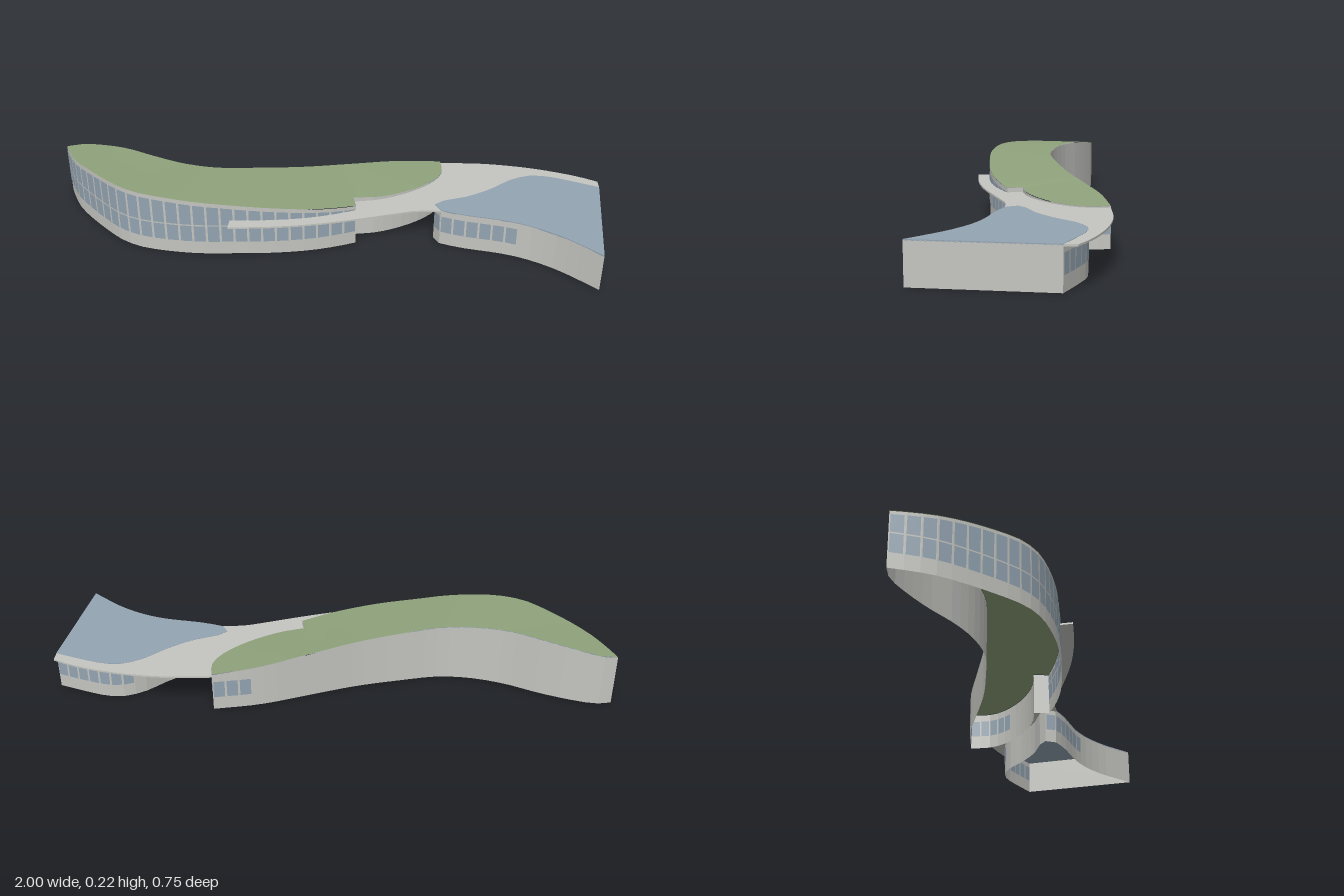
import * as THREE from 'three';

const mat = (name, color) => {
  const m = new THREE.MeshStandardMaterial({ color, side: THREE.DoubleSide });
  m.name = name;
  return m;
};

// Smooth rail through [x, z, height] points
const rail = (pts) => new THREE.CatmullRomCurve3(pts.map(([x, z, y]) => new THREE.Vector3(x, y, z)), false, 'centripetal');

// Faceted geometry from quads given counter-clockwise
function quads(list) {
  const pos = [];
  for (const [a, b, c, d] of list) for (const p of [a, b, c, a, c, d]) pos.push(p.x, p.y, p.z);
  const g = new THREE.BufferGeometry();
  g.setAttribute('position', new THREE.Float32BufferAttribute(pos, 3));
  g.computeVertexNormals();
  return g;
}

const atY = (p, y) => new THREE.Vector3(p.x, y, p.z);

// Wall standing under a rail
const wallQuads = (pts) => pts.slice(1).map((q, i) => [atY(pts[i], 0), atY(q, 0), q, pts[i]]);

// Panes, one per wall facet, on the inner and outer face
function paneQuads(pts, wanted, twoRows) {
  const out = [];
  for (let i = 0; i + 1 < pts.length; i++) {
    const a = pts[i].clone().lerp(pts[i + 1], 0.08), b = pts[i].clone().lerp(pts[i + 1], 0.92);
    if (!wanted(a.clone().lerp(b, 0.5))) continue;
    const n = new THREE.Vector3(a.z - b.z, 0, b.x - a.x).normalize().multiplyScalar(0.002);
    for (const s of [1, -1]) {
      const p = a.clone().addScaledVector(n, s), q = b.clone().addScaledVector(n, s);
      const add = (lo, hiP, hiQ) => out.push(s > 0
        ? [atY(p, lo), atY(q, lo), atY(q, hiQ), atY(p, hiP)]
        : [atY(q, lo), atY(p, lo), atY(p, hiP), atY(q, hiQ)]);
      add(0.05, 0.113, 0.113);
      if (twoRows) add(0.118, a.y - 0.012, b.y - 0.012);
    }
  }
  return out;
}

// Flat plate with its upper face at the given height
function plate(outline, top, thick) {
  const shape = new THREE.Shape(outline.map(([x, z]) => new THREE.Vector2(x, z)));
  const g = new THREE.ExtrudeGeometry(shape, { depth: thick, bevelEnabled: false });
  g.rotateX(Math.PI / 2);
  g.translate(0, top, 0);
  return g;
}

export function createModel() {
  const group = new THREE.Group();
  const wall = mat('pale grey', 0xc4c5c0);
  const green = mat('roof green', 0x8fa27b);
  const glass = mat('blue grey', 0x93a4b2);
  const add = (name, geometry, material) => {
    const m = new THREE.Mesh(geometry, material);
    m.name = name;
    group.add(m);
  };
  const xz = (pts) => pts.map((p) => [p.x, p.z]);

  // Rails of the main hall: long front, recessed rounded end, back
  const front = rail([[-1, 0.09, 0.188], [-0.95, 0.15, 0.194], [-0.9, 0.2, 0.2], [-0.83, 0.25, 0.209],
    [-0.73, 0.31, 0.218], [-0.65, 0.35, 0.222], [-0.57, 0.368, 0.221], [-0.48, 0.365, 0.217],
    [-0.36, 0.345, 0.207], [-0.25, 0.31, 0.195], [-0.12, 0.265, 0.182], [0, 0.21, 0.168],
    [0.08, 0.16, 0.159], [0.145, 0.11, 0.152]]).getSpacedPoints(27);
  const tip = rail([[0.12, 0.06, 0.153], [0.2, 0.02, 0.147], [0.28, -0.05, 0.143], [0.34, -0.13, 0.141],
    [0.37, -0.2, 0.14], [0.372, -0.25, 0.14], [0.35, -0.31, 0.142]]).getSpacedPoints(13);
  const backCurve = rail([[-1, 0.09, 0.188], [-0.95, 0.07, 0.195], [-0.87, 0.07, 0.206], [-0.75, 0.085, 0.218],
    [-0.62, 0.113, 0.221], [-0.5, 0.12, 0.215], [-0.38, 0.1, 0.208], [-0.25, 0.04, 0.198],
    [-0.1, -0.04, 0.185], [0.05, -0.14, 0.17], [0.2, -0.24, 0.155], [0.35, -0.31, 0.142]]);
  const back = backCurve.getSpacedPoints(32).reverse();

  // Main hall walls and windows
  add('mainFrontWall', quads(wallQuads([...front, tip[0]])), wall);
  add('mainEndWall', quads(wallQuads(tip)), wall);
  add('mainBackWall', quads(wallQuads(back)), wall);
  add('mainFrontWindows', quads(paneQuads(front, () => true, true)), glass);
  add('mainEndWindows', quads(paneQuads(tip, (p) => p.z < -0.14, false)), glass);
  add('mainBackWindows', quads(paneQuads(back, (p) => p.x > 0.22, false)), glass);

  // Green roof spanning from the front rail to the back rail
  const rim = [...front, ...tip];
  const pos = [], idx = [], steps = 4;
  rim.forEach((f, i) => {
    const b = backCurve.getPointAt(Math.pow(i / (rim.length - 1), 0.85));
    for (let k = 0; k <= steps; k++) {
      const p = f.clone().lerp(b, k / steps);
      pos.push(p.x, p.y + 0.002, p.z);
      if (i && k) {
        const c = i * (steps + 1) + k, a = c - steps - 1;
        idx.push(a - 1, c - 1, c, a - 1, c, a);
      }
    }
  });
  const roof = new THREE.BufferGeometry();
  roof.setAttribute('position', new THREE.Float32BufferAttribute(pos, 3));
  roof.setIndex(idx);
  roof.computeVertexNormals();
  add('greenRoof', roof, green);

  // Side wing: front, straight end and back
  const h = 0.135;
  const wingFront = rail([[0.4, -0.01, h], [0.415, 0.016, h], [0.5, 0.027, h], [0.66, 0.02, h],
    [0.75, 0.03, h], [0.85, 0.06, h], [0.93, 0.098, h], [1, 0.135, h]]).getSpacedPoints(14);
  const wingBack = rail([[0.94, -0.31, h], [0.85, -0.322, h], [0.75, -0.33, h], [0.69, -0.318, h],
    [0.63, -0.27, h], [0.57, -0.18, h], [0.5, -0.1, h], [0.42, -0.04, h], [0.4, -0.01, h]]).getSpacedPoints(16);
  add('wingFrontWall', quads(wallQuads(wingFront)), wall);
  add('wingEndWall', quads(wallQuads([wingFront[14], wingBack[0]])), wall);
  add('wingBackWall', quads(wallQuads(wingBack)), wall);
  add('wingFrontWindows', quads(paneQuads(wingFront, (p) => p.x < 0.68, false)), glass);
  add('wingBackWindows', quads(paneQuads(wingBack, (p) => p.x > 0.65, false)), glass);
  add('wingRoof', plate([...xz(wingFront), ...xz(wingBack.slice(0, -1))], 0.138, 0.005), glass);

  // Thin canopy linking the hall and the wing
  const canopyEdge = rail([[-0.24, 0.355, 0], [-0.1, 0.305, 0], [0.05, 0.235, 0], [0.2, 0.145, 0],
    [0.3, 0.08, 0], [0.36, 0.045, 0], [0.43, 0.026, 0]]).getSpacedPoints(16);
  const canopyBack = rail([[0.93, -0.35, 0], [0.85, -0.367, 0], [0.72, -0.375, 0], [0.62, -0.37, 0],
    [0.5, -0.352, 0], [0.35, -0.31, 0]]).getSpacedPoints(12);
  const alongHall = front.filter((p) => p.x > -0.25).reverse();
  add('linkCanopy', plate([[-0.25, 0.31], ...xz(canopyEdge), ...xz([...wingBack].reverse()), ...xz(canopyBack),
    ...xz([...tip].reverse().slice(1)), ...xz(alongHall)], 0.137, 0.006), wall);

  return group;
}
